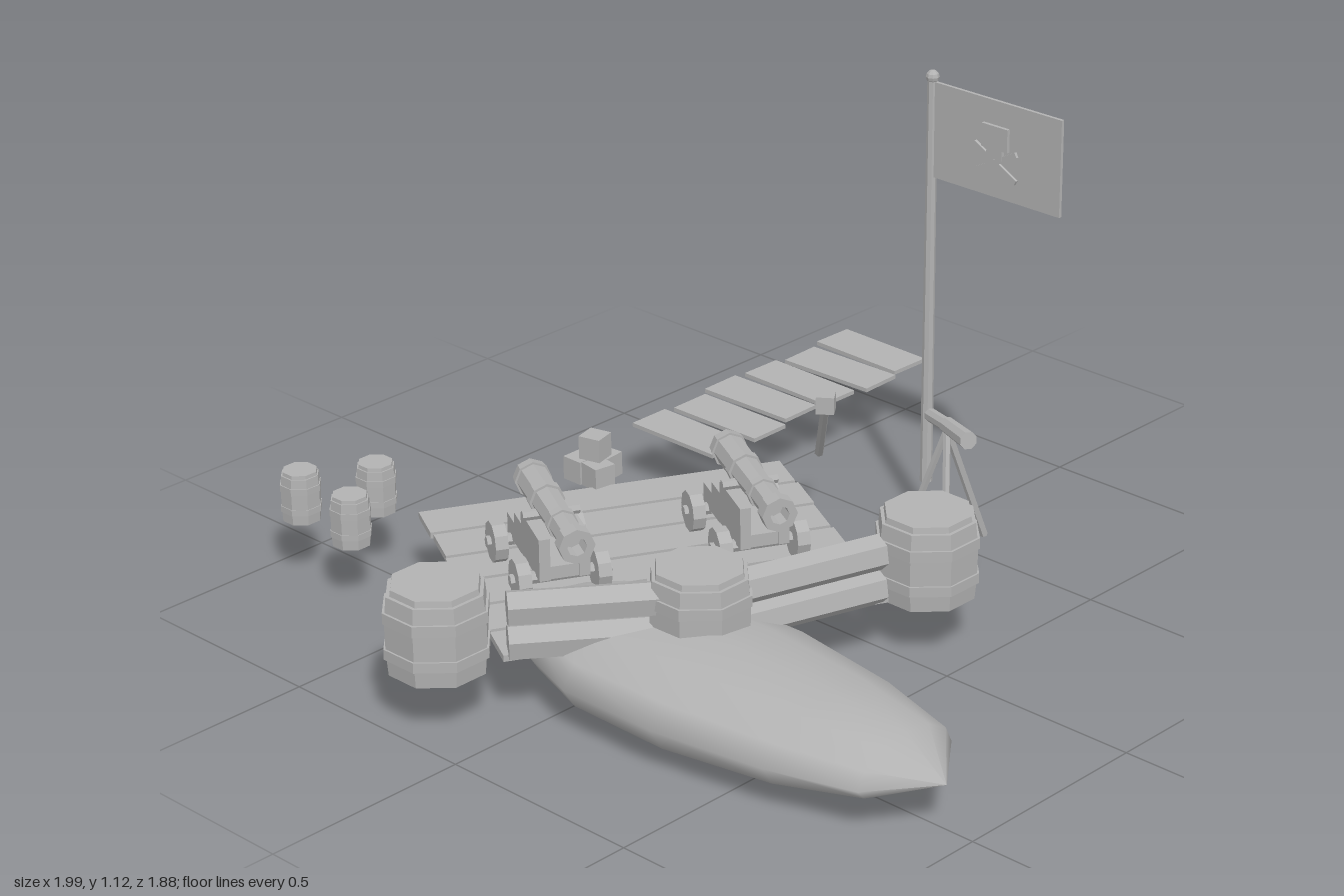
import * as THREE from 'three';

const faceted = new THREE.MeshStandardMaterial({ color: 0xb2b2b2, flatShading: true });
faceted.name = 'stone grey';
const smooth = new THREE.MeshStandardMaterial({ color: 0xb2b2b2 });
smooth.name = 'smooth stone grey';

function add(parent, name, geometry, x = 0, y = 0, z = 0, material = faceted) {
  const mesh = new THREE.Mesh(geometry, material);
  mesh.name = name;
  mesh.position.set(x, y, z);
  parent.add(mesh);
  return mesh;
}
const box = (w, h, d) => new THREE.BoxGeometry(w, h, d);
const lathe = (points, sides) =>
  new THREE.LatheGeometry(points.map(([r, y]) => new THREE.Vector2(r, y)), sides);

// Straight rod from a to b
function rod(parent, name, a, b, r, sides = 6, r2 = r) {
  const p = new THREE.Vector3(...a), q = new THREE.Vector3(...b);
  const dir = q.clone().sub(p);
  const mesh = add(parent, name, new THREE.CylinderGeometry(r2, r, dir.length(), sides));
  mesh.position.copy(p).add(q).multiplyScalar(0.5);
  mesh.quaternion.setFromUnitVectors(new THREE.Vector3(0, 1, 0), dir.normalize());
  return mesh;
}

// Long rounded hull, lofted from elliptical sections along z
function hullGeometry() {
  // z, half width, top, bottom
  const rings = [
    [0.937, 0, 0.113, 0.113], [0.825, 0.145, 0.193, 0.068], [0.62, 0.207, 0.21, 0.022],
    [0.34, 0.25, 0.22, 0.002], [0.08, 0.25, 0.215, 0.01], [-0.08, 0.195, 0.2, 0.035],
    [-0.22, 0.1, 0.158, 0.078], [-0.32, 0, 0.115, 0.115],
  ];
  const n = 12, pos = [], idx = [];
  rings.forEach(([z, w, top, bottom]) => {
    for (let i = 0; i < n; i++) {
      const a = (i / n) * Math.PI * 2, s = Math.sin(a);
      pos.push(w * Math.cos(a), 0.113 + s * (s > 0 ? top - 0.113 : 0.113 - bottom), z);
    }
  });
  for (let k = 0; k < rings.length - 1; k++) {
    for (let i = 0; i < n; i++) {
      const a = k * n + i, b = k * n + (i + 1) % n;
      idx.push(a, a + n, b, b, a + n, b + n);
    }
  }
  const g = new THREE.BufferGeometry();
  g.setAttribute('position', new THREE.Float32BufferAttribute(pos, 3));
  g.setIndex(idx);
  g.computeVertexNormals();
  return g;
}

// Eight-sided barrel with hoops and a recessed-edge lid
function barrel(parent, name, x, y, z, r, h) {
  const profile = [
    [0, 0], [0.92, 0], [0.95, 0.2], [1, 0.2], [1, 0.32], [0.96, 0.32], [0.97, 0.62],
    [1, 0.62], [1, 0.75], [0.95, 0.75], [0.92, 0.93], [0.85, 0.93], [0.83, 1], [0, 1],
  ].map(([a, b]) => [a * r, b * h]);
  add(parent, name, lathe(profile, 8), x, y, z).rotation.y = Math.PI / 8;
}

// Gun on a four-wheeled carriage, muzzle toward local +z
function cannon(x, z) {
  const g = new THREE.Group();
  g.name = 'cannon';
  const tube = lathe([
    [0, -0.18], [0.013, -0.178], [0.016, -0.165], [0.01, -0.15], [0.04, -0.148], [0.043, -0.12],
    [0.038, -0.12], [0.037, -0.03], [0.041, -0.03], [0.041, -0.005], [0.035, -0.005],
    [0.032, 0.1], [0.036, 0.1], [0.036, 0.12], [0.031, 0.12], [0.031, 0.185], [0.041, 0.2],
    [0.041, 0.235], [0.022, 0.235], [0.022, 0.19], [0, 0.19],
  ], 8);
  add(g, 'gunBarrel', tube, 0, 0.345, 0.01).rotation.x = Math.PI / 2;
  rod(g, 'trunnion', [-0.065, 0.33, 0.03], [0.065, 0.33, 0.03], 0.012);
  add(g, 'carriageBed', box(0.09, 0.03, 0.27), 0, 0.235, 0);
  for (const s of [-1, 1]) {
    // stepped cheeks
    add(g, 'cheekFront', box(0.025, 0.1, 0.15), s * 0.045, 0.27, 0.065);
    add(g, 'cheekMiddle', box(0.025, 0.075, 0.06), s * 0.045, 0.255, -0.04);
    add(g, 'cheekRear', box(0.025, 0.05, 0.06), s * 0.045, 0.24, -0.1);
    // axle and wheels
    rod(g, 'axle', [-0.115, 0.213, s * 0.1], [0.115, 0.213, s * 0.1], 0.014);
    for (const t of [-1, 1])
      rod(g, 'wheel', [t * 0.075, 0.213, s * 0.1], [t * 0.105, 0.213, s * 0.1], 0.048, 10);
  }
  g.position.set(x, 0, z);
  g.rotation.y = -0.497;
  return g;
}

export function createModel() {
  const model = new THREE.Group();
  model.name = 'gunPlatform';

  add(model, 'hull', hullGeometry(), -0.51, 0, 0, smooth);

  // Slanted plank deck
  const deck = new THREE.Group();
  deck.name = 'deck';
  deck.position.set(-0.25, 0.157, -0.172);
  deck.rotation.y = -0.497;
  for (let i = 0; i < 6; i++)
    add(deck, 'deckPlank', box(0.87, 0.015, 0.113), 0.004 * (i % 2), 0, (i - 2.5) * 0.125);
  model.add(deck);

  // Cannons
  model.add(cannon(-0.47, -0.262), cannon(-0.06, -0.05));

  // Barrel and log barricade
  for (const [x, z] of [[-0.885, -0.172], [-0.45, 0.185], [0.09, 0.36]])
    barrel(model, 'largeBarrel', x, 0.13, z, 0.121, 0.2);
  for (const y of [0.186, 0.268]) {
    rod(model, 'barricadeLog', [-0.785, y, -0.06], [-0.5, y, 0.165], 0.041);
    rod(model, 'barricadeLog', [-0.42, y, 0.22], [-0.045, y, 0.34], 0.041);
  }

  // Small kegs
  for (const [x, z] of [[-0.637, -0.9], [-0.492, -0.805], [-0.645, -0.72]])
    barrel(model, 'keg', x, 0.15, z, 0.049, 0.122);

  // Stack of crates
  const crates = [[-0.065, 0.185, -0.575, 0], [-0.012, 0.185, -0.545, 0.1],
    [-0.065, 0.185, -0.515, -0.15], [-0.045, 0.243, -0.545, 0.25]];
  for (const [x, y, z, turn] of crates)
    add(model, 'crate', box(0.055, 0.057, 0.055), x, y, z).rotation.y = turn;

  // Plank walkway
  [-0.56, -0.55, -0.573, -0.565, -0.55, -0.567].forEach((z, i) => {
    const plank = add(model, 'walkwayPlank', box(0.11, 0.01, 0.265), 0.28 + i * 0.132, 0.159, z);
    plank.rotation.y = [0, 0.01, 0.02, -0.015, 0.03, -0.02][i];
  });

  // Flag pole with flag and raised emblem on both sides
  const fx = 0.565;
  rod(model, 'flagPole', [fx, 0.1, -0.055], [fx, 1.11, -0.055], 0.015, 8, 0.012);
  add(model, 'poleCap', new THREE.SphereGeometry(0.016, 8, 6), fx, 1.11, -0.055);
  add(model, 'flag', box(0.008, 0.23, 0.37), fx, 0.985, 0.14);
  for (const s of [-1, 1]) {
    const x = fx + s * 0.008;
    add(model, 'emblemHead', box(0.009, 0.055, 0.075), x, 1.015, 0.14);
    add(model, 'emblemJaw', box(0.009, 0.025, 0.045), x, 0.977, 0.14);
    for (const t of [-1, 1])
      add(model, 'emblemBone', box(0.007, 0.013, 0.14), x, 0.955, 0.14).rotation.x = t * 0.5;
  }

  // Spyglass on a tripod
  rod(model, 'spyglassFront', [0.235, 0.443, 0.35], [0.29, 0.429, 0.24], 0.021, 8, 0.019);
  rod(model, 'spyglassRear', [0.285, 0.43, 0.25], [0.327, 0.416, 0.16], 0.016, 8);
  for (const foot of [[0.21, 0.122, 0.31], [0.39, 0.13, 0.272], [0.26, 0.122, 0.14]])
    rod(model, 'tripodLeg', foot, [0.285, 0.42, 0.245], 0.009);

  // Leaning mallet
  rod(model, 'malletShaft', [0.42, 0.155, -0.265], [0.245, 0.4, -0.085], 0.011);
  const head = add(model, 'malletHead', box(0.042, 0.042, 0.042), 0.245, 0.398, -0.085);
  head.rotation.y = Math.PI / 5;

  return model;
}
